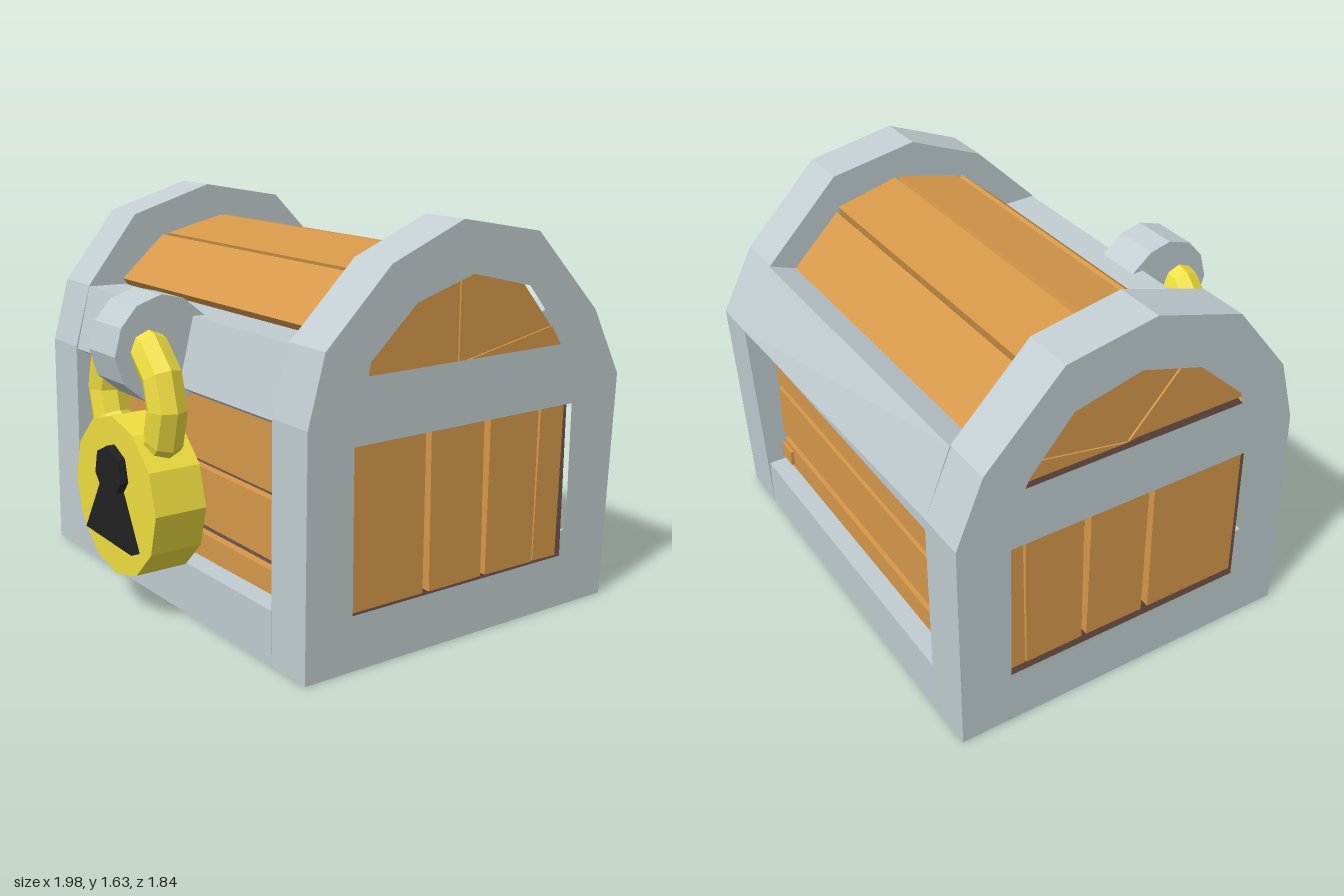
import * as THREE from 'three';

const mat = (color) => new THREE.MeshStandardMaterial({ color, flatShading: true });

export function createModel() {
  const model = new THREE.Group();
  const metal = mat(0xc1cdd1), wood = mat(0xd6984a), dark = mat(0x74564b);
  const gold = mat(0xeedd3f), black = mat(0x222222);

  const add = (name, geometry, material, parent = model) => {
    const mesh = new THREE.Mesh(geometry, material);
    mesh.name = name;
    parent.add(mesh);
    return mesh;
  };
  const group = (name) => {
    const g = new THREE.Group();
    g.name = name;
    model.add(g);
    return g;
  };
  // Box given by its limits on each axis, turned about its own centre by its mesh
  const box = (name, [x0, x1], [y0, y1], [z0, z1], material, parent) => {
    const mesh = add(name, new THREE.BoxGeometry(x1 - x0, y1 - y0, z1 - z0), material, parent);
    mesh.position.set((x0 + x1) / 2, (y0 + y1) / 2, (z0 + z1) / 2);
    return mesh;
  };
  // Side profile of [z, y] points, extruded along x
  const toVectors = (pts) => pts.map(([z, y]) => new THREE.Vector2(-z, y));
  const profile = (pts, x0, x1, holes = []) => {
    const shape = new THREE.Shape(toVectors(pts));
    shape.holes = holes.map((h) => new THREE.Path(toVectors(h)));
    return new THREE.ExtrudeGeometry(shape, { depth: x1 - x0, bevelEnabled: false })
      .rotateY(Math.PI / 2).translate(x0, 0, 0);
  };

  // End frames: arched metal plates with a square and an arched window
  const lowWindow = [[0.44, 0.22], [0.44, 0.86], [-0.66, 0.86], [-0.66, 0.22]];
  const archWindow = [[0.38, 1.11], [0.37, 1.16], [0.16, 1.35], [-0.11, 1.43],
    [-0.4, 1.36], [-0.58, 1.15], [-0.6, 1.11]];
  const endFrame = (shoulder, backZ) => [[0.655, 0], [0.645, 0.95], [0.57, 1.22], shoulder,
    [-0.055, 1.635], [-0.44, 1.565], [-0.77, 1.23], [backZ, 0.95], [-0.88, 0]];
  const holes = [lowWindow, archWindow];
  add('leftEndFrame', profile(endFrame([0.28, 1.5], -0.92), 0.775, 0.99, holes), metal);
  add('rightEndFrame', profile(endFrame([0.33, 1.52], -0.885), -0.985, -0.765, holes), metal);

  // Base and long rails
  box('base', [-0.77, 0.78], [0, 0.22], [-0.88, 0.655], metal);
  add('frontRail', profile([[0.64, 0.94], [0.57, 1.215], [0.39, 1.21], [0.4, 0.9], [0.57, 0.9]],
    -0.77, 0.78), metal);
  const backRail = profile([[-0.885, 0.9], [-0.92, 0.95], [-0.775, 1.23], [-0.64, 1.18], [-0.7, 0.9]],
    -0.77, 0.78);
  // Back rail tapers towards the narrower end frame
  const p = backRail.attributes.position;
  for (let i = 0; i < p.count; i++) {
    if (p.getX(i) < 0 && p.getZ(i) < -0.9) p.setZ(i, -0.885);
  }
  backRail.computeVertexNormals();
  add('backRail', backRail, metal);

  // Dark core seen through the gaps between planks
  add('core', profile([[0.53, 0.1], [0.53, 0.95], [0.36, 1.18], [0.14, 1.385], [-0.14, 1.455],
    [-0.43, 1.375], [-0.64, 1.15], [-0.76, 0.95], [-0.76, 0.1]], -0.87, 0.87), dark);

  // Lid planks: [front edge, back edge] as [z, y]
  const lid = group('lidPlanks');
  [[[0.4, 1.235], [0.19, 1.42]], [[0.16, 1.425], [-0.125, 1.49]],
    [[-0.15, 1.49], [-0.43, 1.42]], [[-0.44, 1.4], [-0.68, 1.16]]].forEach(([a, b]) => {
    const dz = b[0] - a[0], dy = b[1] - a[1], k = 0.06 / Math.hypot(dz, dy);
    const inward = ([z, y]) => [z - -dy * -k, y + dz * k];
    add('lidPlank', profile([a, b, inward(b), inward(a)], -0.775, 0.785), wood, lid);
  });

  // Front and back planks, slightly crooked, each with a short patch board
  for (const [name, z, s] of [['front', 0.535, 1], ['back', -0.765, -1]]) {
    const planks = group(name + 'Planks');
    [[0.18, 0.325], [0.365, 0.605], [0.635, 0.94]].forEach((y) => {
      const plank = box(name + 'Plank', [-0.8, 0.8], y, [z - 0.03, z + 0.03], wood, planks);
      plank.rotation.z = -0.012 * s;
    });
    const patchX = s > 0 ? [-0.78, -0.65] : [0.68, 0.78];
    const top = s > 0 ? 0.91 : 0.31;
    box('patchBoard', patchX, [0.24, top], [z - 0.045, z + 0.045], wood, planks);
  }

  // End planks: upright boards below, fanned wedges in the arch
  for (const s of [1, -1]) {
    const ends = group(s > 0 ? 'leftEndPlanks' : 'rightEndPlanks');
    const x = 0.885 * s;
    [[0.04, 0.47], [-0.26, 0.01], [-0.55, -0.29], [-0.69, -0.56]].forEach((z, i) => {
      const plank = box('endPlank', [x - 0.03, x + 0.03], [0.19, 0.89], z, wood, ends);
      plank.rotation.x = [0, 0.008, -0.008, -0.02][i];
    });
    const fan = [[0.45, 1.08], [0.4, 1.18], [0.17, 1.385], [-0.11, 1.46], [-0.41, 1.39],
      [-0.6, 1.17], [-0.66, 1.08]];
    for (let i = 0; i < fan.length - 1; i++) {
      const depth = 0.03 + 0.008 * (i % 2);
      add('archWedge', profile([fan[i], fan[i + 1], [-0.11, 1.08]], x - depth, x + depth), wood, ends);
    }
  }

  // Hasp: rounded metal hook over the front rail
  add('hasp', profile([[0.5, 1.2], [0.55, 1.24], [0.61, 1.29], [0.71, 1.315], [0.82, 1.28],
    [0.89, 1.2], [0.92, 1.09], [0.885, 0.98], [0.79, 0.9], [0.64, 0.875], [0.5, 0.95]],
  -0.095, 0.12), metal);

  // Padlock
  const lock = group('padlock');
  const body = add('lockBody', new THREE.CylinderGeometry(0.33, 0.33, 0.225, 12), gold, lock);
  body.rotation.x = Math.PI / 2;
  body.position.set(0.005, 0.5, 0.768);
  add('shackle', new THREE.TorusGeometry(0.242, 0.082, 8, 12), gold, lock)
    .position.set(0.005, 0.89, 0.77);

  // Keyhole: round head over a flared slot
  const head = add('keyholeHead', new THREE.CylinderGeometry(0.108, 0.108, 0.05, 7), black, lock);
  head.rotation.x = Math.PI / 2;
  head.rotation.y = Math.PI;
  head.position.set(0.018, 0.61, 0.89);
  const slot = new THREE.Shape([[-0.18, 0.33], [0.2, 0.315], [0.02, 0.66]]
    .map(([x, y]) => new THREE.Vector2(x, y)));
  add('keyholeSlot', new THREE.ExtrudeGeometry(slot, { depth: 0.05, bevelEnabled: false }), black, lock)
    .position.z = 0.868;

  return model;
}
